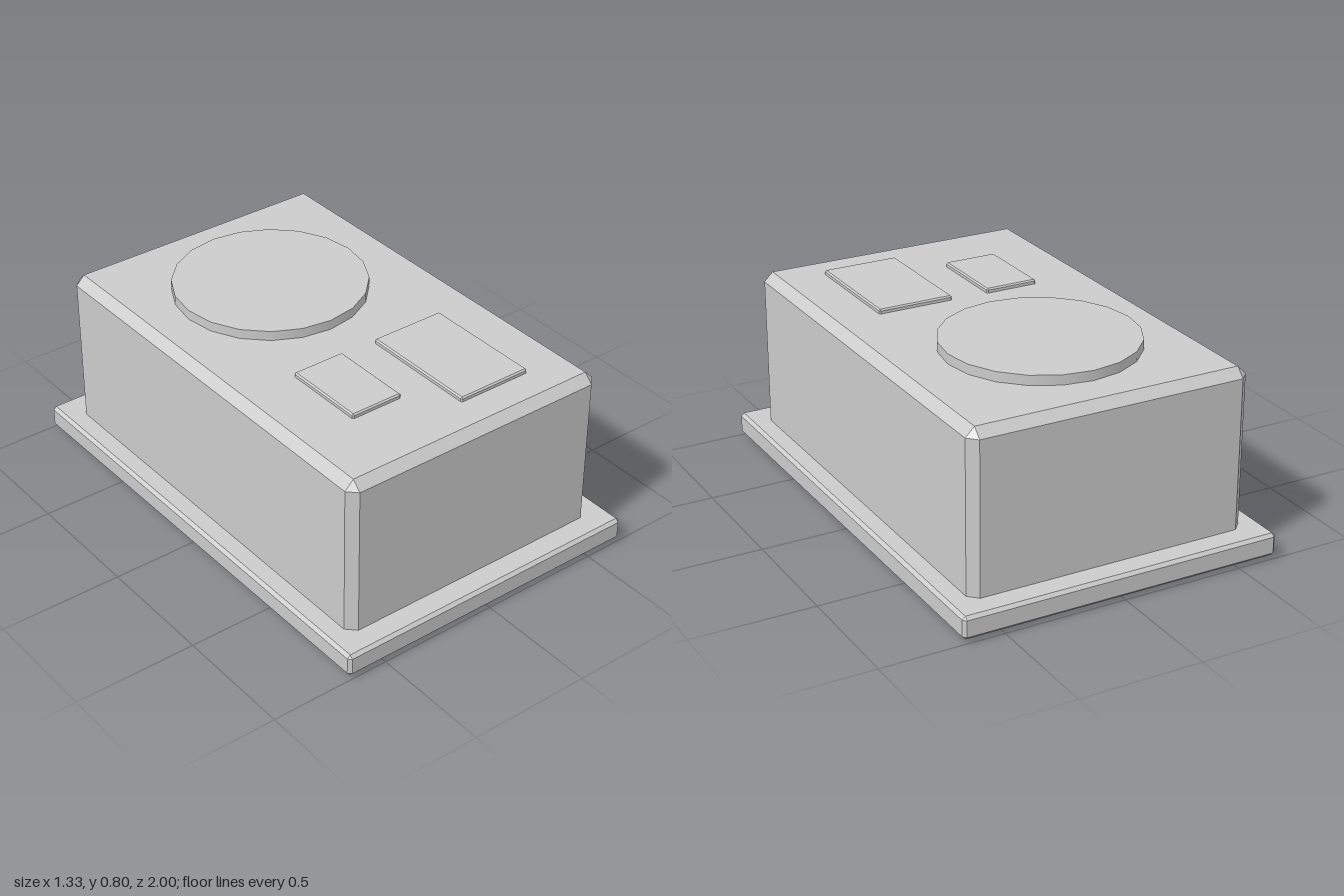
import * as THREE from 'three';
import { ConvexGeometry } from 'three/addons/geometries/ConvexGeometry.js';

const material = new THREE.MeshStandardMaterial({ color: 0xcccccc });

// Box with every edge chamfered by c: three points around each corner
function chamferBox(name, [x0, x1], [y0, y1], [z0, z1], c) {
  const hx = (x1 - x0) / 2, hy = (y1 - y0) / 2, hz = (z1 - z0) / 2;
  const points = [];
  for (const sx of [-1, 1]) for (const sy of [-1, 1]) for (const sz of [-1, 1]) {
    points.push(
      new THREE.Vector3(sx * hx, sy * (hy - c), sz * (hz - c)),
      new THREE.Vector3(sx * (hx - c), sy * hy, sz * (hz - c)),
      new THREE.Vector3(sx * (hx - c), sy * (hy - c), sz * hz)
    );
  }
  const mesh = new THREE.Mesh(new ConvexGeometry(points), material);
  mesh.position.set((x0 + x1) / 2, (y0 + y1) / 2, (z0 + z1) / 2);
  mesh.name = name;
  return mesh;
}

export function createModel() {
  const group = new THREE.Group();
  group.name = 'boxWithDial';

  // Housing, passing through the flange and showing slightly below it
  group.add(chamferBox('housing', [-0.584, 0.584], [0, 0.76], [-0.9, 0.9], 0.037));
  group.add(chamferBox('baseFlange', [-0.666, 0.666], [0.012, 0.105], [-1, 1], 0.013));

  // Raised pads on the top
  group.add(chamferBox('smallPad', [-0.324, -0.1], [0.74, 0.778], [0.227, 0.578], 0.006));
  group.add(chamferBox('largePad', [0.054, 0.373], [0.74, 0.778], [0.23, 0.735], 0.006));

  // Round dial
  const dial = new THREE.Mesh(new THREE.CylinderGeometry(0.389, 0.389, 0.06, 20), material);
  dial.position.set(-0.017, 0.77, -0.335);
  dial.name = 'dial';
  group.add(dial);

  return group;
}
